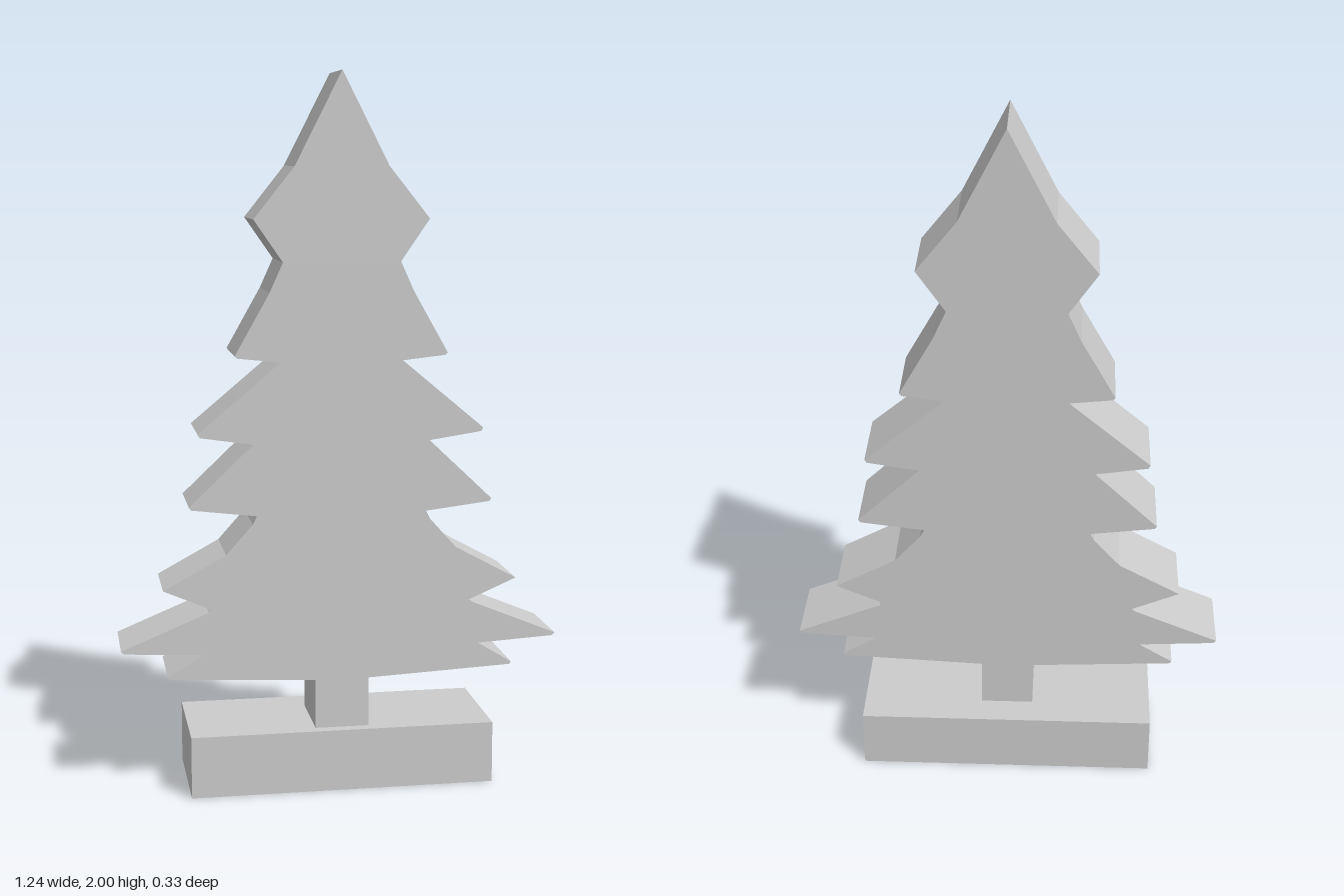
import * as THREE from 'three';

// Right half of the tree outline, from the tip down to the trunk foot
const HALF = [
  [0, 2], [0.13, 1.745], [0.243, 1.603], [0.163, 1.487], [0.2, 1.405],
  [0.296, 1.235], [0.29, 1.228], [0.17, 1.215], [0.182, 1.205],
  [0.4, 1.022], [0.394, 1.012], [0.247, 0.99], [0.426, 0.82], [0.42, 0.812],
  [0.238, 0.79], [0.25, 0.767], [0.325, 0.683], [0.5, 0.588],
  [0.365, 0.53], [0.375, 0.522], [0.618, 0.422], [0.61, 0.414], [0.392, 0.402],
  [0.49, 0.342], [0.485, 0.335], [0.076, 0.315], [0.076, 0.175],
];

export function createModel() {
  const group = new THREE.Group();
  const material = new THREE.MeshStandardMaterial({ color: 0xcccccc, flatShading: true });

  // Flat tree cut-out with its trunk, mirrored about x = 0
  const mirrored = HALF.slice(1).map(([x, y]) => [-x, y]).reverse();
  const outline = [...HALF, ...mirrored].map(([x, y]) => new THREE.Vector2(x, y));
  const tree = new THREE.Mesh(
    new THREE.ExtrudeGeometry(new THREE.Shape(outline), { depth: 0.214, bevelEnabled: false }),
    material,
  );
  tree.name = 'tree';
  tree.position.z = -0.079;
  group.add(tree);

  // Rectangular stand
  const base = new THREE.Mesh(new THREE.BoxGeometry(0.86, 0.175, 0.334), material);
  base.name = 'base';
  base.position.y = 0.0875;
  group.add(base);

  return group;
}
